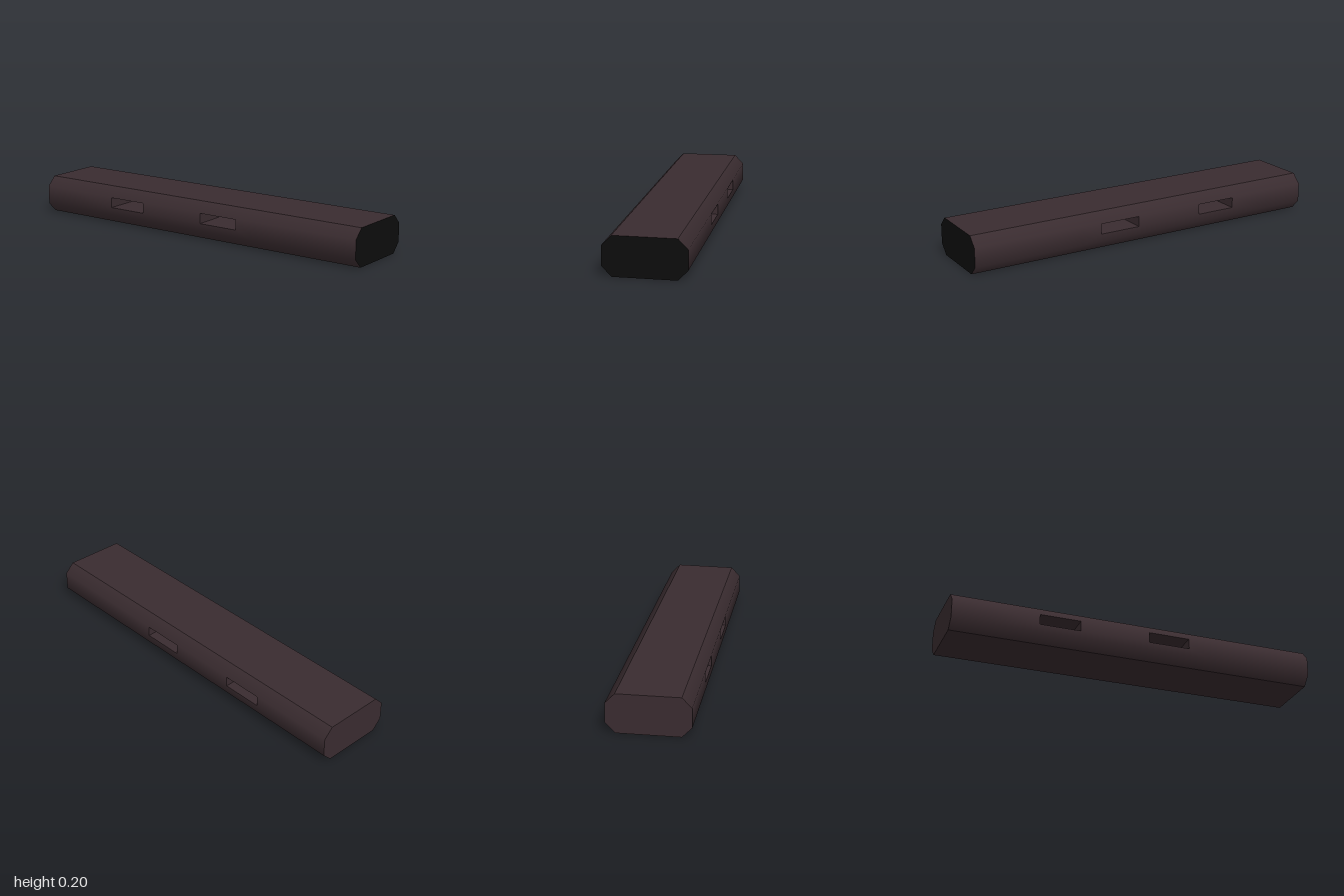
import * as THREE from 'three';
import { mergeGeometries } from 'three/addons/utils/BufferGeometryUtils.js';

const W = 0.207, TOP_W = 0.158, H = 0.2, LOW = 0.05, HIGH = 0.15;
const SLOT = { y0: 0.09, y1: 0.145, spans: [[-0.54, -0.32], [0.06, 0.285]] };

// Flat four-cornered face, corners counter-clockwise from its front
function quad(a, b, c, d) {
  const g = new THREE.BufferGeometry();
  g.setAttribute('position', new THREE.Float32BufferAttribute([a, b, c, a, c, d].flat(), 3));
  g.computeVertexNormals();
  return g;
}

// Lean the normals of a side up or down with height, so its chamfers look rounded
function roundNormals(g, s) {
  const p = g.attributes.position, n = g.attributes.normal;
  for (let i = 0; i < p.count; i++) {
    const t = (p.getY(i) - H / 2) / (H / 2) * Math.PI / 4;
    n.setXYZ(i, s * Math.cos(t), Math.sin(t), 0);
  }
  return g;
}

// The front end is cut very slightly askew
function skewFront(g) {
  const p = g.attributes.position;
  for (let i = 0; i < p.count; i++) {
    if (p.getZ(i) > 0.99) p.setZ(i, 1 - 0.012 * (W - p.getX(i)) / (2 * W));
  }
  return g;
}

// Upright side panel with optional slot holes, facing +x (s = 1) or -x (s = -1)
function sidePanel(s, z0, z1, holes) {
  const rect = (P, a, b, y0, y1) => new P([[a, y0], [b, y0], [b, y1], [a, y1]]
    .map(([z, y]) => new THREE.Vector2(-s * z, y)));
  const shape = rect(THREE.Shape, z0, z1, LOW, HIGH);
  for (const [a, b] of holes) shape.holes.push(rect(THREE.Path, a, b, SLOT.y0, SLOT.y1));
  const g = new THREE.ShapeGeometry(shape).toNonIndexed();
  g.deleteAttribute('uv');
  return g.rotateY(s * Math.PI / 2).translate(s * W, 0, 0);
}

// Strip along z from profile point p to q (going counter-clockwise seen from +z)
const strip = (p, q, z0, z1) => quad([...p, z1], [...p, z0], [...q, z0], [...q, z1]);

// One length of the bar without ends
function section(z0, z1, holes = []) {
  const parts = [
    strip([TOP_W, H], [-TOP_W, H], z0, z1),
    strip([-TOP_W, 0], [TOP_W, 0], z0, z1),
  ];
  const sides = [
    [1, strip([TOP_W, 0], [W, LOW], z0, z1)],
    [1, strip([W, HIGH], [TOP_W, H], z0, z1)],
    [-1, strip([-TOP_W, H], [-W, HIGH], z0, z1)],
    [-1, strip([-W, LOW], [-TOP_W, 0], z0, z1)],
    [1, sidePanel(1, z0, z1, holes)],
    [-1, sidePanel(-1, z0, z1, holes)],
  ];
  for (const [s, g] of sides) parts.push(roundNormals(g, s));
  return skewFront(mergeGeometries(parts));
}

// Inner walls of a slot running through the bar from side to side
function slotWalls([a, b]) {
  const { y0, y1 } = SLOT;
  return mergeGeometries([
    quad([-W, y0, b], [W, y0, b], [W, y0, a], [-W, y0, a]),
    quad([-W, y1, a], [W, y1, a], [W, y1, b], [-W, y1, b]),
    quad([-W, y0, a], [W, y0, a], [W, y1, a], [-W, y1, a]),
    quad([W, y0, b], [-W, y0, b], [-W, y1, b], [W, y1, b]),
  ]);
}

// Eight-sided end face
function endFace() {
  return new THREE.ShapeGeometry(new THREE.Shape([
    [TOP_W, 0], [W, LOW], [W, HIGH], [TOP_W, H],
    [-TOP_W, H], [-W, HIGH], [-W, LOW], [-TOP_W, 0],
  ].map(([x, y]) => new THREE.Vector2(x, y))));
}

export function createModel() {
  const group = new THREE.Group();
  const brown = new THREE.MeshStandardMaterial({ color: 0x3a2c30 });
  const black = new THREE.MeshStandardMaterial({ color: 0x0d0d0d });
  const add = (name, geometry, material = brown) => {
    const mesh = new THREE.Mesh(geometry, material);
    mesh.name = name;
    group.add(mesh);
  };

  // Bar in three lengths, the middle one slotted
  add('frontSection', section(0.4, 1));
  add('middleSection', section(-0.8, 0.4, SLOT.spans));
  add('backSection', section(-1, -0.8));
  SLOT.spans.forEach((span, i) => add(['backSlot', 'frontSlot'][i], slotWalls(span)));

  // Ends
  add('frontEnd', skewFront(endFace().translate(0, 0, 1)), black);
  add('backEnd', endFace().rotateY(Math.PI).translate(0, 0, -1));
  return group;
}
